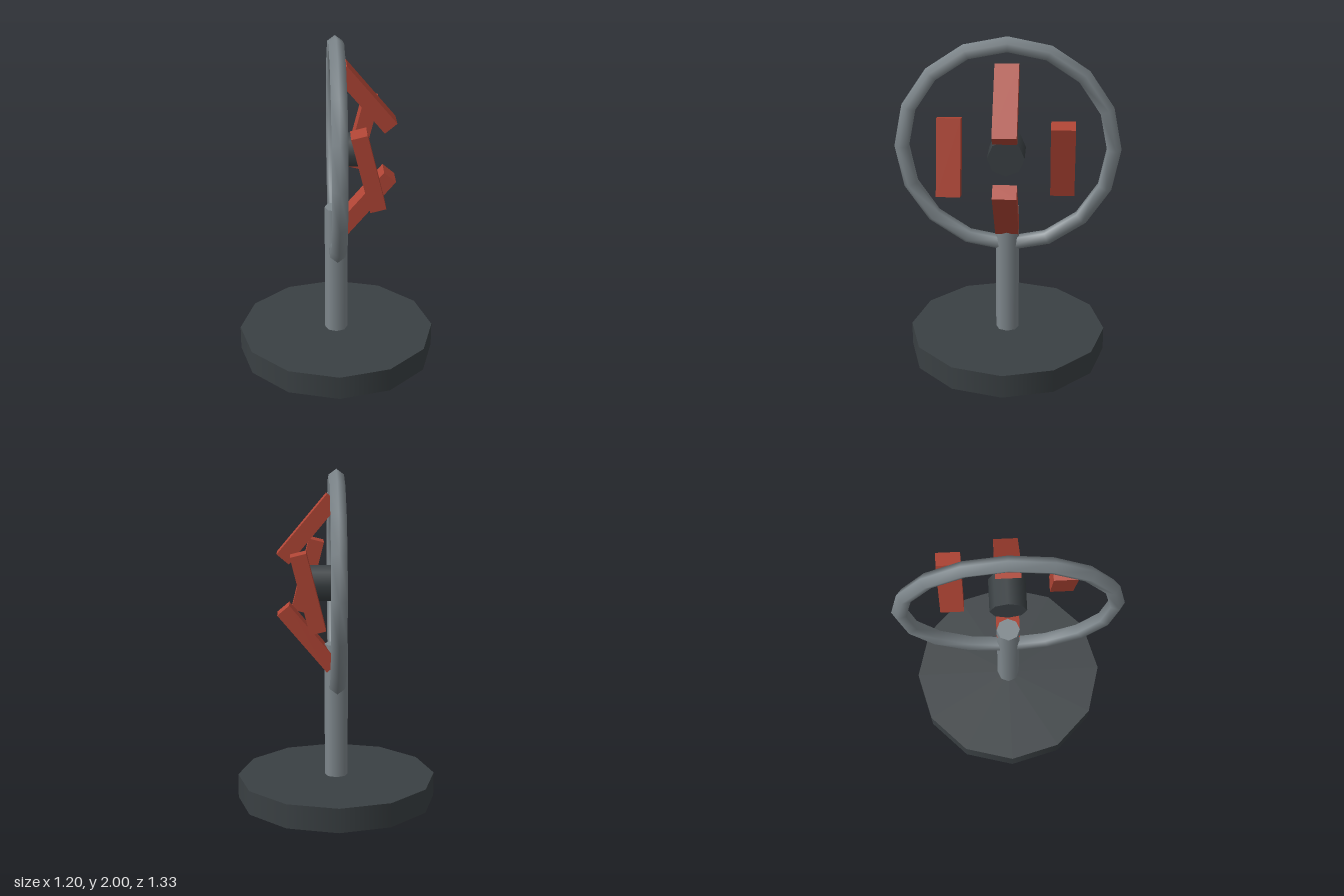
import * as THREE from 'three';

const HUB_Y = 1.333;

export function createModel() {
  const model = new THREE.Group();
  model.name = 'pedestalFan';

  const steel = new THREE.MeshStandardMaterial({ color: 0x7f888d });
  const dark = new THREE.MeshStandardMaterial({ color: 0x3a4043 });
  const red = new THREE.MeshStandardMaterial({ color: 0xb04535 });

  const add = (name, geometry, material, x, y, z) => {
    const mesh = new THREE.Mesh(geometry, material);
    mesh.name = name;
    mesh.position.set(x, y, z);
    model.add(mesh);
    return mesh;
  };

  // Twelve-sided foot and the post standing in it
  add('base', new THREE.CylinderGeometry(0.6, 0.6, 0.146, 12), dark, 0, 0.073, 0);
  add('post', new THREE.CylinderGeometry(0.07, 0.07, 0.863, 8), steel, 0, 0.532, 0);

  // Guard ring in the side plane
  const ring = add('guardRing', new THREE.TorusGeometry(0.62, 0.047, 5, 16), steel, 0, HUB_Y, 0);
  ring.rotation.y = Math.PI / 2;

  // Hub lying along x
  const hub = add('hub', new THREE.CylinderGeometry(0.108, 0.108, 0.2, 8), dark, 0.08, HUB_Y - 0.003, 0);
  hub.rotation.z = Math.PI / 2;

  // Four tilted blades: name, y offset, z offset, tilt
  const bladeGeometry = new THREE.BoxGeometry(0.093, 0.453, 0.14);
  const blades = [
    ['topBlade', 0.325, 0, 0.7],
    ['bottomBlade', -0.325, 0, -0.7],
    ['frontBlade', 0, 0.327, 0.245],
    ['backBlade', 0, -0.327, -0.245],
  ];
  for (const [name, dy, dz, tilt] of blades) {
    add(name, bladeGeometry, red, 0.168, HUB_Y - 0.003 + dy, dz).rotation.z = tilt;
  }

  return model;
}
